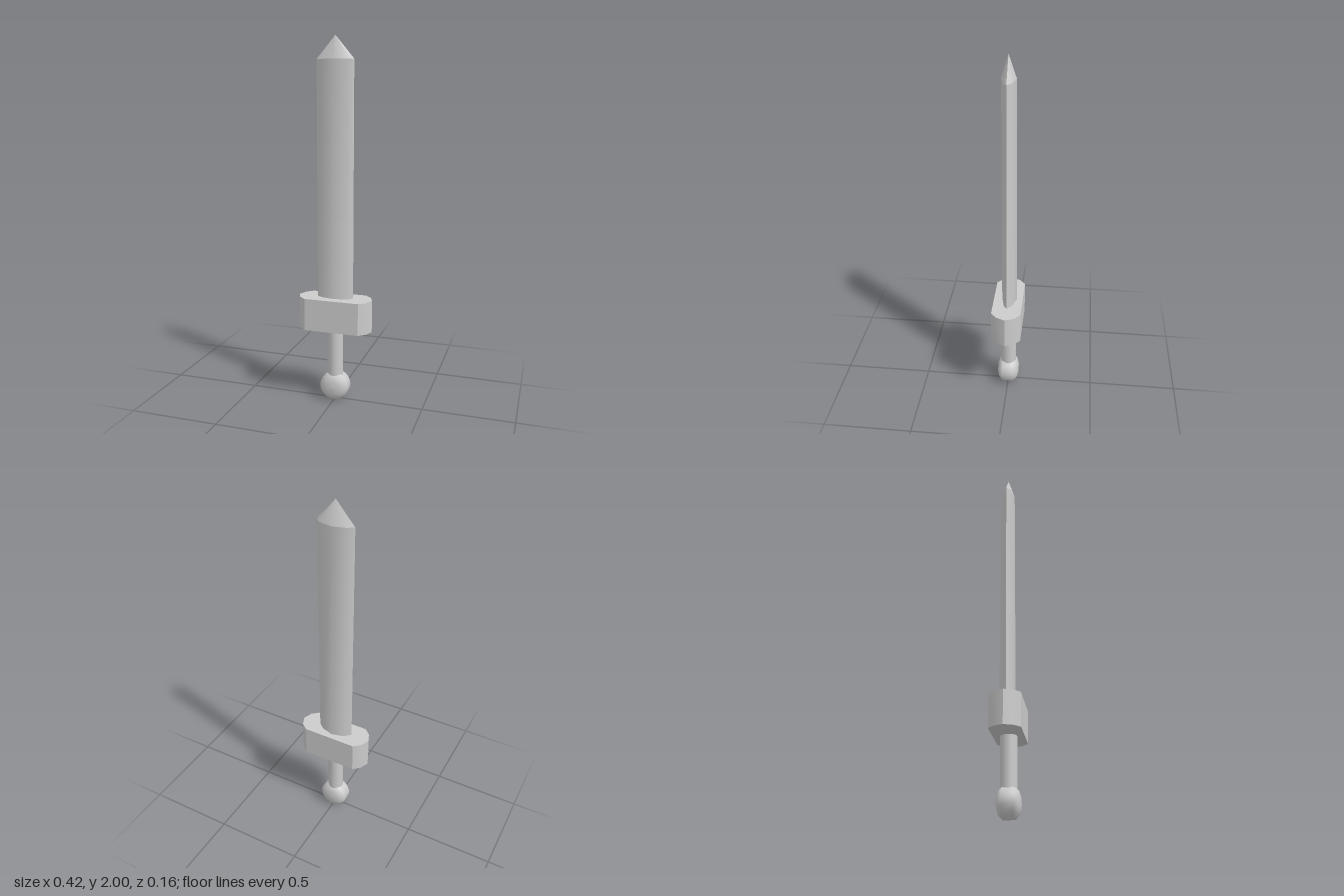
import * as THREE from 'three';
import { toCreasedNormals } from 'three/addons/utils/BufferGeometryUtils.js';

const material = new THREE.MeshStandardMaterial({ color: 0xcccccc });

// Skin a stack of rings; each ring is { y, points: [[x, z], ...] }, anticlockwise from above
function loft(rings, crease) {
  const n = rings[0].points.length;
  const positions = [];
  const index = [];
  for (const { y, points } of rings) for (const [x, z] of points) positions.push(x, y, z);
  for (let r = 0; r < rings.length - 1; r++) {
    for (let i = 0; i < n; i++) {
      const a = r * n + i;
      const b = r * n + (i + 1) % n;
      index.push(a, b, b + n, a, b + n, a + n);
    }
  }
  const geometry = new THREE.BufferGeometry();
  geometry.setAttribute('position', new THREE.Float32BufferAttribute(positions, 3));
  geometry.setIndex(index);
  return toCreasedNormals(geometry, crease);
}

export function createModel() {
  const group = new THREE.Group();
  const add = (name, geometry) => {
    const mesh = new THREE.Mesh(geometry, material);
    mesh.name = name;
    group.add(mesh);
    return mesh;
  };

  // Blade: slim lens section, a little thicker at the back near the guard
  const front = [[-0.103, 0], [-0.075, 0.02], [0, 0.036], [0.08, 0.018], [0.102, 0]];
  const topSection = [...front, [0.075, -0.025], [0, -0.041], [-0.065, -0.023]];
  const baseSection = [...front, [0.065, -0.03], [0, -0.05], [-0.068, -0.033]];
  add('blade', loft([{ y: 0.58, points: baseSection }, { y: 1.88, points: topSection }], 0.6));

  // Pointed tip
  const apex = topSection.map(() => [0, 0]);
  add('bladeTip', loft([{ y: 1.88, points: topSection }, { y: 2, points: apex }], 0.8));

  // Guard: flat bar with faceted rounded ends
  const end = [[0.153, -0.082], [0.19, -0.05], [0.21, 0], [0.19, 0.05], [0.153, 0.082]];
  const outline = [...end, ...end.map(([x, z]) => [-x, -z])];
  const shape = new THREE.Shape(outline.map(([x, z]) => new THREE.Vector2(x, z)));
  const guard = new THREE.ExtrudeGeometry(shape, { depth: 0.18, bevelEnabled: false });
  guard.rotateX(-Math.PI / 2).translate(0, 0.415, 0);
  add('guard', toCreasedNormals(guard, 0.7));

  // Grip
  const grip = new THREE.CylinderGeometry(0.044, 0.044, 0.3, 16);
  add('grip', grip).position.y = 0.28;

  // Pommel: thick disc with domed front and back faces
  const profile = [[0, -0.062], [0.032, -0.06], [0.06, -0.051], [0.08, -0.03],
    [0.08, 0.03], [0.06, 0.051], [0.032, 0.06], [0, 0.062]];
  const pommel = new THREE.LatheGeometry(profile.map(([r, z]) => new THREE.Vector2(r, z)), 24);
  pommel.rotateX(Math.PI / 2);
  add('pommel', pommel).position.y = 0.08;

  return group;
}
